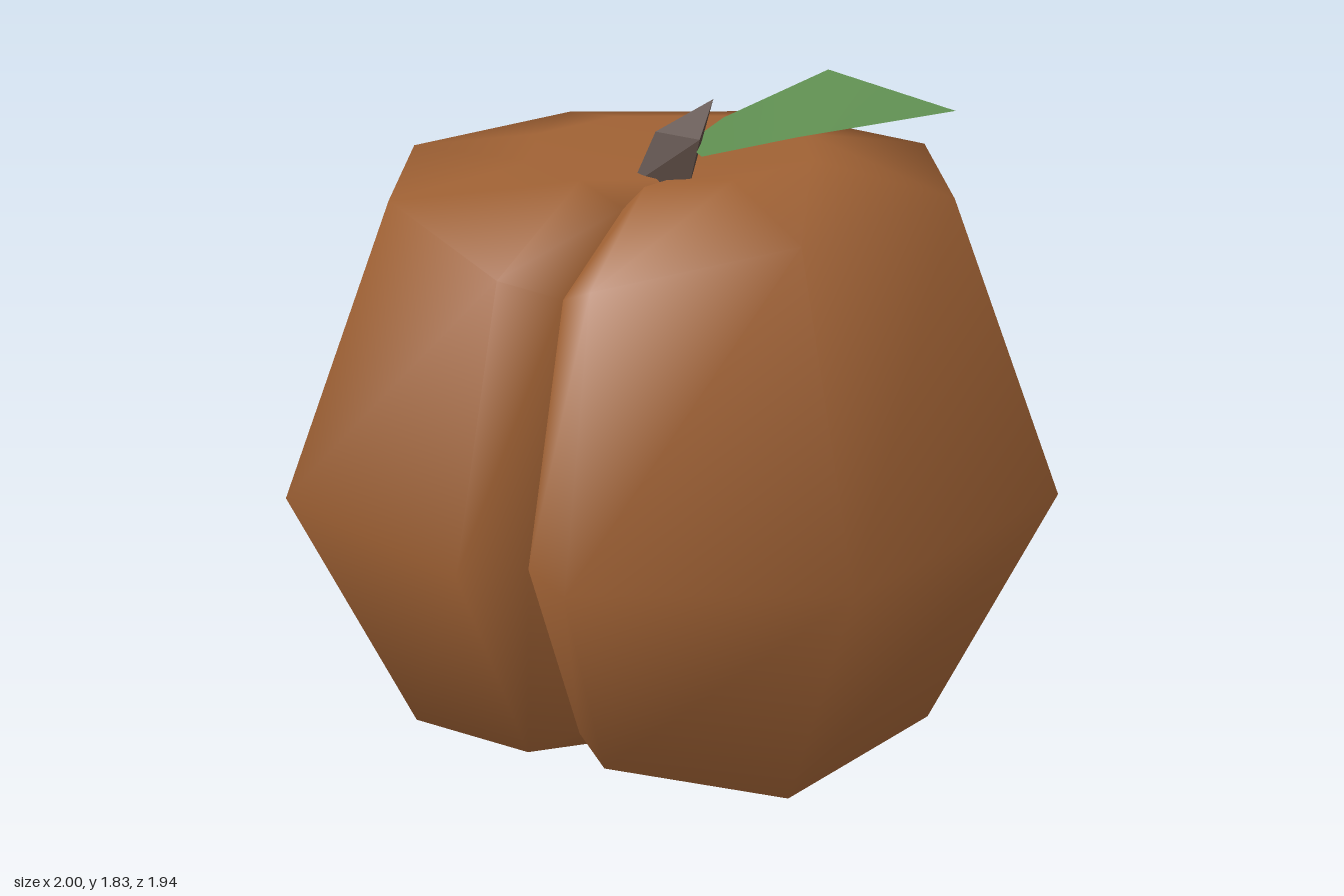
import * as THREE from 'three';
import { ConvexGeometry } from 'three/addons/geometries/ConvexGeometry.js';

const CENTRE_Z = 0.025;

// Each ring: octagon height and radius, front lip [x, y, z], groove bottom [y, z]
const RINGS = [
  { y: 0.2, r: 0.71, lip: [0.1, 0.29, 0.7], groove: [0.32, 0.62] },
  { y: 0.87, r: 1.0, lip: [0.13, 0.87, 0.965], groove: [0.87, 0.87] },
  { y: 1.57, r: 0.71, lip: [0.11, 1.49, 0.76], groove: [1.43, 0.66] },
  { y: 1.63, r: 0.36, lip: [0.08, 1.625, 0.385], groove: [1.55, 0.32] },
];

// Eight-sided fruit; the column at the groove is doubled to keep a sharp crease
function fruitGeometry() {
  const pos = [], index = [];
  for (const { y, r, lip, groove } of RINGS) {
    pos.push(0, ...groove, ...lip);
    for (let i = 1; i < 8; i++) {
      const a = i * Math.PI / 4;
      pos.push(r * Math.sin(a), y, CENTRE_Z + r * Math.cos(a));
    }
    pos.push(-lip[0], lip[1], lip[2], 0, ...groove);
  }
  const n = 11, top = n * (RINGS.length - 1), base = n * RINGS.length;
  pos.push(0, 0, CENTRE_Z, 0, 1.55, CENTRE_Z);
  for (let c = 0; c < n - 1; c++) {
    index.push(base, c + 1, c);
    for (let j = 0; j < RINGS.length - 1; j++) {
      const a = j * n + c, b = a + 1;
      index.push(a, b, b + n, a, b + n, a + n);
    }
    index.push(top + c, top + c + 1, base + 1);
  }
  return buildGeometry(pos, index);
}

function buildGeometry(pos, index) {
  const g = new THREE.BufferGeometry();
  g.setAttribute('position', new THREE.Float32BufferAttribute(pos, 3));
  g.setIndex(index);
  g.computeVertexNormals();
  return g;
}

function material(name, color, extra = {}) {
  const m = new THREE.MeshStandardMaterial({ color, ...extra });
  m.name = name;
  return m;
}

export function createModel() {
  const group = new THREE.Group();
  group.name = 'fruit';
  const add = (name, geometry, mat) => {
    const mesh = new THREE.Mesh(geometry, mat);
    mesh.name = name;
    group.add(mesh);
  };

  add('fruitBody', fruitGeometry(), material('fruit orange brown', 0x9f6134));

  // Leaning three-sided stem
  const stem = [
    [-0.08, 1.54, 0.08], [0.07, 1.54, 0.09], [0, 1.54, -0.07],
    [-0.03, 1.67, 0.05], [0.1, 1.67, 0.09], [0.1, 1.75, 0],
  ].map((p) => new THREE.Vector3(...p));
  add('stem', new ConvexGeometry(stem), material('stem brown', 0x54443d));

  // Thin leaf: root, front edge, tip, back edge
  const leaf = [
    0.04, 1.64, 0.02,
    0.12, 1.64, 0.13,
    0.37, 1.72, 0.185,
    0.7, 1.775, 0.02,
    0.36, 1.825, -0.085,
    0.1, 1.69, -0.07,
  ];
  add('leaf', buildGeometry(leaf, [0, 1, 5, 1, 2, 5, 2, 4, 5, 2, 3, 4]),
    material('leaf green', 0x5c8a4e, { side: THREE.DoubleSide }));

  return group;
}
